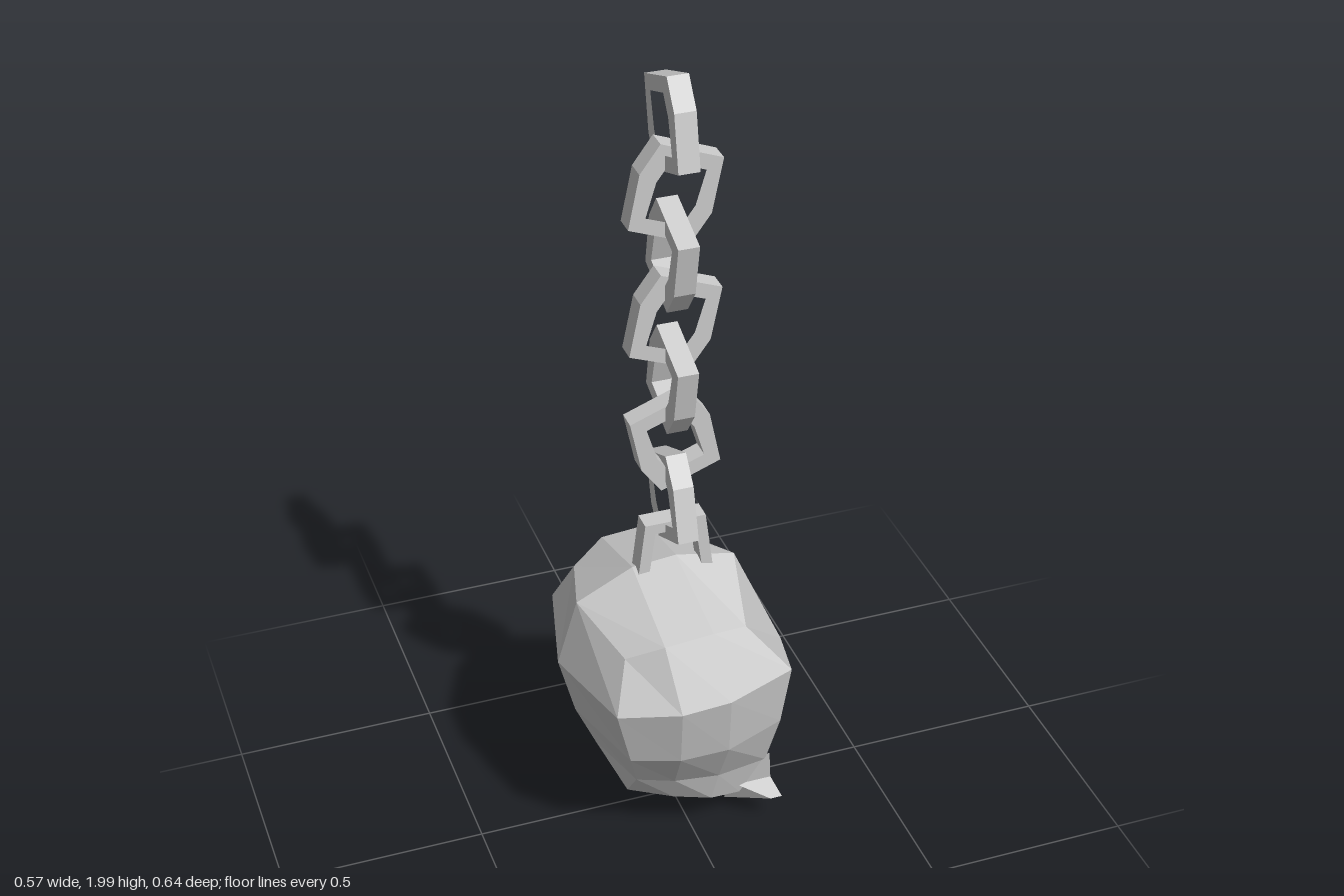
import * as THREE from 'three';

const material = new THREE.MeshStandardMaterial({ color: 0xcccccc, flatShading: true });

// Turns a list of convex faces (corners counter-clockwise) into a mesh
function facesMesh(name, faces) {
  const pos = [];
  for (const f of faces)
    for (let i = 1; i < f.length - 1; i++) pos.push(...f[0], ...f[i], ...f[i + 1]);
  const g = new THREE.BufferGeometry();
  g.setAttribute('position', new THREE.Float32BufferAttribute(pos, 3));
  g.computeVertexNormals();
  const mesh = new THREE.Mesh(g, material);
  mesh.name = name;
  return mesh;
}

const mirrorFaces = (faces) => faces.map((f) => f.map(([x, y, z]) => [x, y, -z]).reverse());
const mix = (a, b, t) => a.map((v, i) => v + (b[i] - v) * t);

// Head: half rings from back (-x) around the side to the face (+x)
function buildHead() {
  const rings = [
    [[-0.24, 0.66, 0], [-0.185, 0.62, 0.195], [-0.1, 0.66, 0.235], [0.02, 0.67, 0.235], [0.115, 0.64, 0.195], [0.157, 0.71, 0]],
    [[-0.29, 0.495, 0], [-0.225, 0.5, 0.255], [-0.085, 0.515, 0.315], [0.035, 0.525, 0.318], [0.21, 0.53, 0.255], [0.285, 0.42, 0]],
    [[-0.25, 0.34, 0], [-0.185, 0.34, 0.23], [-0.075, 0.345, 0.275], [0.045, 0.35, 0.28], [0.195, 0.36, 0.23], [0.245, 0.33, 0]],
    [[-0.2, 0.225, 0], [-0.15, 0.22, 0.165], [-0.06, 0.21, 0.19], [0.05, 0.205, 0.2], [0.18, 0.2, 0.175], [0.215, 0.25, 0]],
    [[-0.17, 0.19, 0], [-0.155, 0.145, 0.11], [-0.05, 0.125, 0.15], [0.04, 0.115, 0.175], [0.12, 0.1, 0.16], [0.14, 0.2, 0]],
  ];
  const faces = [];
  // crown, meeting along a ridge on the centre line
  const [c, , , , b] = rings;
  const ridgeBack = [-0.1, 0.73, 0], ridgeFront = [0.01, 0.74, 0];
  faces.push([c[0], c[1], c[2], ridgeBack], [ridgeBack, c[2], c[3], ridgeFront], [ridgeFront, c[3], c[4], c[5]]);
  // side walls, leaving out the eye panel
  for (let r = 0; r < 4; r++)
    for (let k = 0; k < 5; k++)
      if (!(r === 1 && k === 4))
        faces.push([rings[r][k], rings[r + 1][k], rings[r + 1][k + 1], rings[r][k + 1]]);
  // hollowed underside
  for (let k = 0; k < 5; k++) faces.push([b[k], [0, 0.2, 0], b[k + 1]]);
  // eye panel with a slanted recess
  const panel = [rings[1][4], rings[2][4], rings[2][5], rings[1][5]];
  const eye = [[0.13, 0.22], [0.13, 0.75], [0.92, 0.45], [0.92, 0.15]].map(([u, v]) =>
    mix(mix(panel[0], panel[3], u), mix(panel[1], panel[2], u), v));
  const floor = eye.map(([x, y, z]) => [x - 0.05, y, z]);
  for (let i = 0; i < 4; i++) {
    const j = (i + 1) % 4;
    faces.push([panel[i], panel[j], eye[j], eye[i]], [eye[i], eye[j], floor[j], floor[i]]);
  }
  faces.push(floor);
  return facesMesh('head', [...faces, ...mirrorFaces(faces)]);
}

// Tusk: rows of [outer, inner] corners, lofted downwards with a given depth
function buildTusk(name, rows, mirrored) {
  const loops = rows.map(([o, n, depth]) => [o, n, [n[0] - depth, n[1], n[2]], [o[0] - depth, o[1], o[2]]]);
  const faces = [];
  for (let r = 0; r < loops.length - 1; r++)
    for (let i = 0; i < 4; i++) {
      const j = (i + 1) % 4;
      faces.push([loops[r][i], loops[r + 1][i], loops[r + 1][j], loops[r][j]]);
    }
  faces.push([...loops[loops.length - 1]].reverse());
  return facesMesh(name, mirrored ? mirrorFaces(faces) : faces);
}

// Flat bar shape extruded around its own middle plane
function extrudeBar(name, outer, inner) {
  const toVec = (list) => list.map(([x, y]) => new THREE.Vector2(x, y));
  const shape = new THREE.Shape(toVec(outer));
  if (inner) shape.holes.push(new THREE.Path(toVec(inner)));
  const g = new THREE.ExtrudeGeometry(shape, { depth: 0.05, bevelEnabled: false });
  g.translate(0, 0, -0.025);
  const mesh = new THREE.Mesh(g, material);
  mesh.name = name;
  return mesh;
}

// Skewed six-sided chain link; the second half repeats the first turned by 180 degrees
function buildLink(flip) {
  const full = (half) => [...half, ...half.map(([x, y]) => [-x, -y])].map(([x, y]) => [x * flip, y]);
  return extrudeBar('chainLink',
    full([[-0.035, 0.125], [0.11, 0.07], [0.083, -0.06]]),
    full([[-0.013, 0.078], [0.07, 0.047], [0.045, -0.035]]));
}

export function createModel() {
  const model = new THREE.Group();
  model.name = 'chainedHead';
  model.add(buildHead());

  // uneven broken tusks under the face
  model.add(buildTusk('leftTusk', [
    [[0.19, 0.22, 0.18], [0.216, 0.25, 0], 0.08],
    [[0.2, 0.13, 0.165], [0.205, 0.13, 0.08], 0.09],
    [[0.22, 0.085, 0.195], [0.145, 0.01, 0.07], 0.03],
  ], false));
  model.add(buildTusk('rightTusk', [
    [[0.19, 0.22, 0.18], [0.216, 0.25, 0], 0.08],
    [[0.2, 0.14, 0.135], [0.2, 0.13, 0.055], 0.08],
    [[0.2, 0.07, 0.12], [0.17, 0.045, 0.085], 0.04],
  ], true));

  // chain: links alternate between the two upright planes
  const chain = new THREE.Group();
  chain.name = 'chain';
  const flips = [1, 1, -1, 1, -1, -1, 1];
  flips.forEach((flip, i) => {
    const link = buildLink(flip);
    link.position.y = 1.875 - i * 0.16;
    if (i % 2 === 0) link.rotation.y = Math.PI / 2;
    if (i === 6) link.rotation.x = -0.08;
    chain.add(link);
  });
  model.add(chain);

  // staple fixing the chain to the crown
  model.add(extrudeBar('staple', [
    [-0.095, 0.7], [-0.075, 0.857], [0.075, 0.857], [0.095, 0.7],
    [0.068, 0.7], [0.05, 0.83], [-0.05, 0.83], [-0.068, 0.7],
  ]));
  return model;
}
